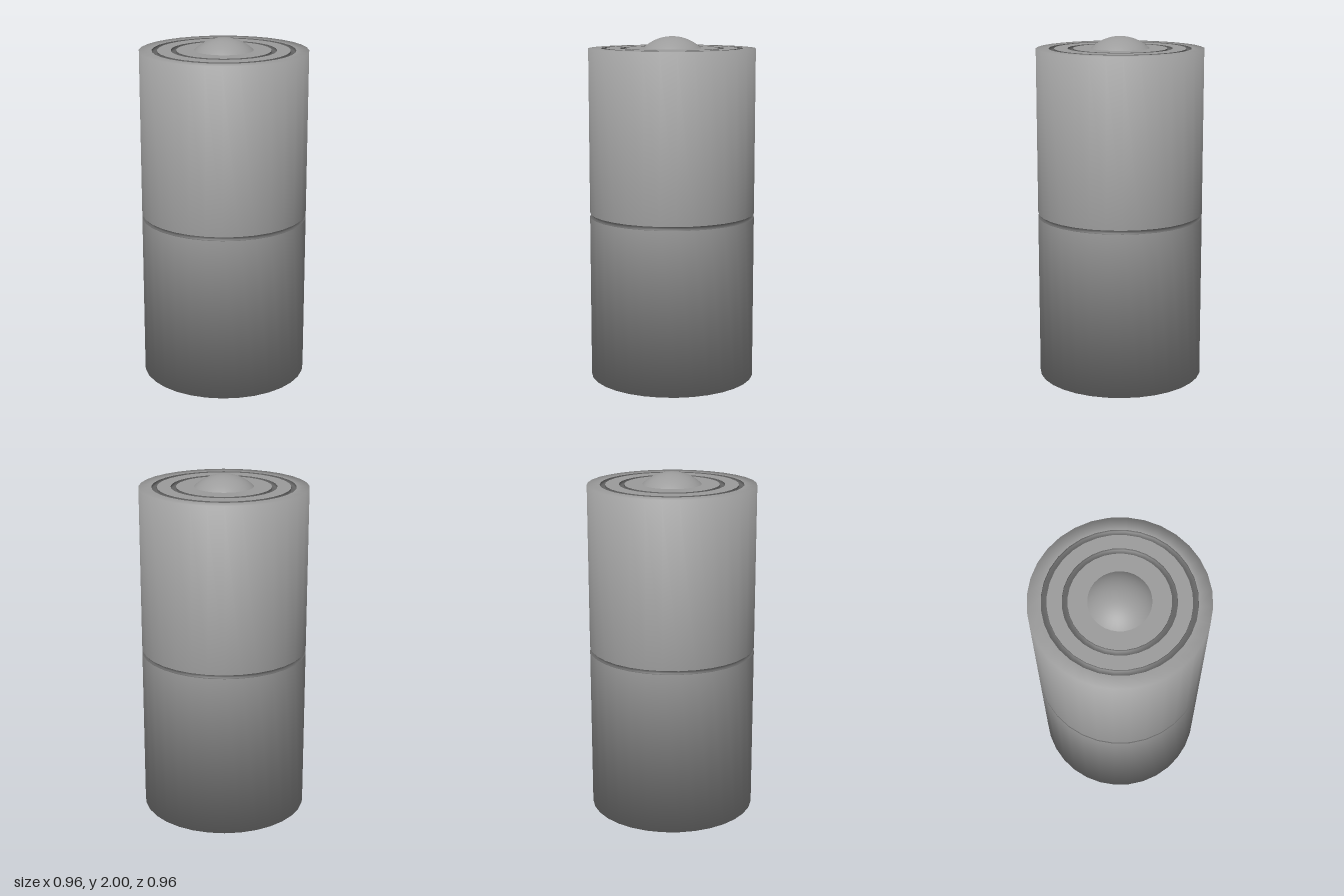
import * as THREE from 'three';

const SEGMENTS = 32;
const RADIUS = 0.481;
const HEIGHT = 1.932;
const SEAM = [0.957, 0.979]; // lower and upper edge of the middle groove
const RINGS = [[0.27, 0.3], [0.378, 0.408]]; // inner and outer radius of each end groove
const GROOVE_DEPTH = 0.02;

// Lathe from [radius, y] points; tilts, if given, set the upward angle of the normal at each point
function lathe(points, tilts) {
  const geometry = new THREE.LatheGeometry(points.map(([r, y]) => new THREE.Vector2(r, y)), SEGMENTS);
  if (tilts) {
    const normal = geometry.attributes.normal;
    for (let i = 0; i < normal.count; i++) {
      const turn = Math.floor(i / points.length) / SEGMENTS * Math.PI * 2;
      const tilt = tilts[i % points.length];
      normal.setXYZ(i, Math.sin(turn) * Math.cos(tilt), Math.sin(tilt), Math.cos(turn) * Math.cos(tilt));
    }
  }
  return geometry;
}

export function createModel() {
  const model = new THREE.Group();
  const bodyMaterial = new THREE.MeshStandardMaterial({ color: 0x9c9c9c });
  const grooveMaterial = new THREE.MeshStandardMaterial({ color: 0x696969 });

  function add(name, geometry, material) {
    const mesh = new THREE.Mesh(geometry, material);
    mesh.name = name;
    model.add(mesh);
    return mesh;
  }

  // Two mirrored halves: up is -1 for the bottom half and +1 for the top half
  for (const [label, up, y, seamY] of [['bottom', -1, 0, SEAM[0]], ['top', 1, HEIGHT, SEAM[1]]]) {
    // Profiles run outward at the bottom and inward at the top, so they always face out
    const order = (list) => (up > 0 ? list.reverse() : list);
    const floor = y - up * GROOVE_DEPTH;
    const [[a, b], [c, d]] = RINGS;

    // Side wall with a softly shaded rim
    add(label + 'Shell', lathe(
      order([[d, y], [RADIUS, y], [RADIUS, seamY]]),
      order([up * Math.PI / 2, up * Math.PI / 4, 0])), bodyMaterial);

    // Flat faces of the end
    add(label + 'Disc', lathe(order([[0, y], [a, y]])), bodyMaterial);
    add(label + 'Ring', lathe(order([[b, y], [c, y]])), bodyMaterial);

    // Dark ring grooves between them
    for (const [inner, outer] of RINGS) {
      add(label + 'Groove', lathe(
        order([[inner, y], [inner, floor], [outer, floor], [outer, y]])), grooveMaterial);
    }
  }

  // Dark seam around the middle
  const seamRadius = RADIUS - 0.015;
  add('middleGroove', lathe(
    [[RADIUS, SEAM[0]], [seamRadius, SEAM[0]], [seamRadius, SEAM[1]], [RADIUS, SEAM[1]]]), grooveMaterial);

  // Shallow dome in the centre of the top
  const domeRadius = 0.168;
  const domeHeight = 2 - HEIGHT;
  const sphereRadius = (domeRadius ** 2 + domeHeight ** 2) / (2 * domeHeight);
  const dome = add('topDome', new THREE.SphereGeometry(
    sphereRadius, SEGMENTS, 10, 0, Math.PI * 2, 0, Math.asin(domeRadius / sphereRadius)), bodyMaterial);
  dome.position.y = 2 - sphereRadius;

  return model;
}
